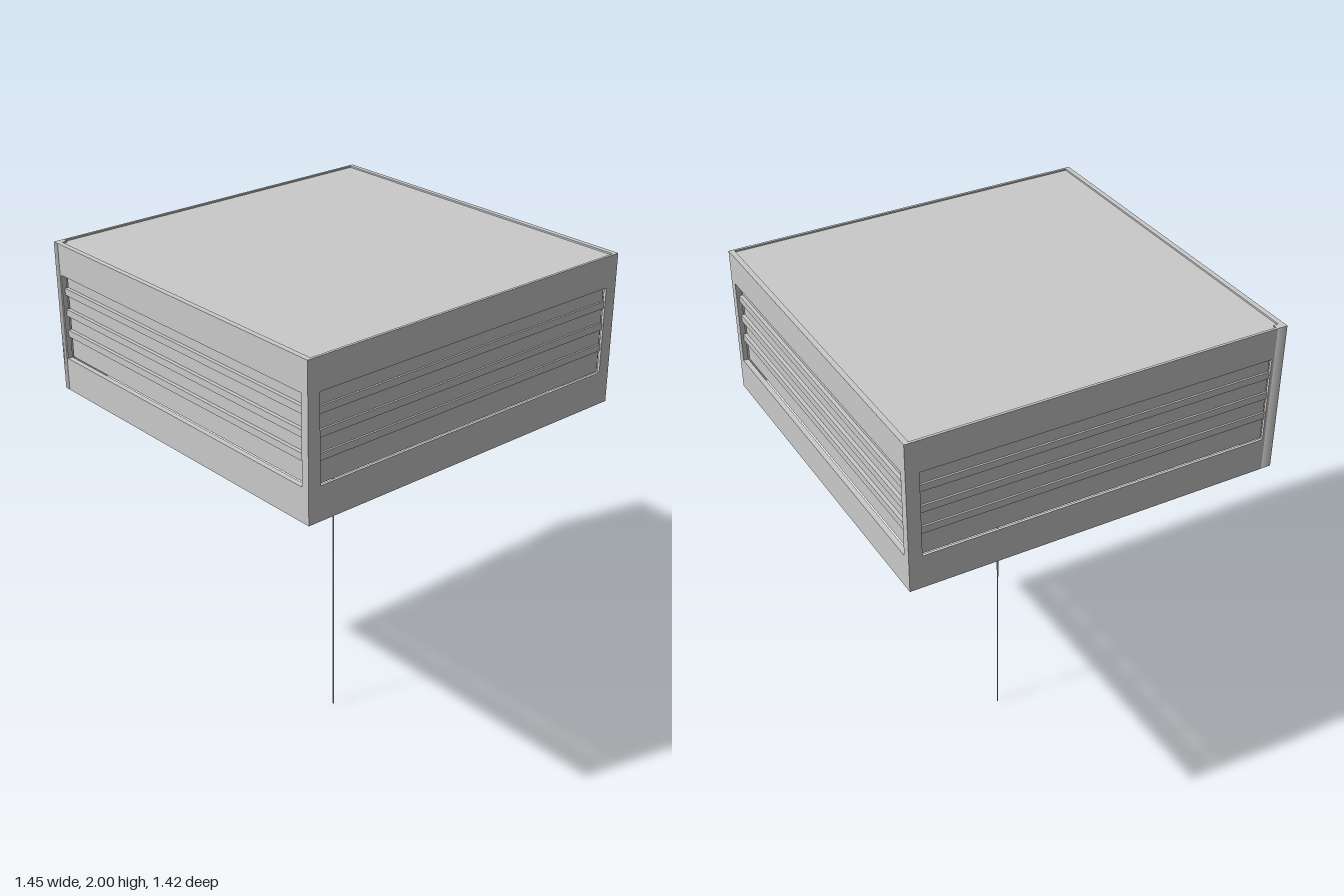
import * as THREE from 'three';

const metal = new THREE.MeshStandardMaterial({ color: 0xcacaca, side: THREE.DoubleSide });
metal.name = 'grey metal';

function add(parent, name, geometry, x = 0, y = 0, z = 0) {
  const mesh = new THREE.Mesh(geometry, metal);
  mesh.name = name;
  mesh.position.set(x, y, z);
  parent.add(mesh);
  return mesh;
}

const BOTTOM = 1.42, TOP = 2, SILL = 1.55, HEAD = 1.88;
const PITCH = (HEAD - SILL) / 4;

function rectangle(u0, u1, y0, y1) {
  return [[u0, y0], [u1, y0], [u1, y1], [u0, y1]].map(p => new THREE.Vector2(...p));
}

// Wall from u0 to u1 with a sunk plate and three bars; local +z is outward.
// plate and bar give [inner, outer] distances from the middle of the lamp.
function barredWall(name, angle, u0, u1, { half, outer, thick, plate, bar }) {
  const wall = new THREE.Group();
  wall.name = name;
  wall.rotation.y = angle;

  const shape = new THREE.Shape(rectangle(u0, u1, BOTTOM, TOP));
  shape.holes.push(new THREE.Path(rectangle(-half, half, SILL, HEAD)));
  add(wall, 'wallFrame', new THREE.ExtrudeGeometry(shape, { depth: thick, bevelEnabled: false }), 0, 0, outer - thick);

  const slab = (part, height, y, [inner, out]) =>
    add(wall, part, new THREE.BoxGeometry(half * 2, height, out - inner), 0, y, (inner + out) / 2);
  slab('sunkPlate', HEAD - SILL, (HEAD + SILL) / 2, plate);
  for (let i = 1; i < 4; i++) slab('louverBar', 0.027, SILL + PITCH * i + 0.016, bar);
  return wall;
}

export function createModel() {
  const model = new THREE.Group();
  model.name = 'ceilingLamp';

  // Square housing, open underneath
  const endWall = { half: 0.675, outer: 0.712, thick: 0.01, plate: [0.691, 0.699], bar: [0.685, 0.706] };
  const sideWall = { half: 0.68, outer: 0.725, thick: 0.02, plate: [0.694, 0.7], bar: [0.688, 0.714] };
  model.add(
    barredWall('frontWall', 0, -0.705, 0.705, endWall),
    barredWall('backWall', Math.PI, -0.705, 0.685, endWall),
    barredWall('leftWall', Math.PI / 2, -0.712, 0.712, sideWall),
    barredWall('rightWall', -Math.PI / 2, -0.687, 0.712, sideWall)
  );
  add(model, 'topPanel', new THREE.BoxGeometry(1.41, 0.01, 1.404), 0, TOP - 0.011, 0);

  // Four-sided post with soft shading at the back right corner
  const post = new THREE.CylinderGeometry(Math.SQRT1_2, Math.SQRT1_2, TOP - BOTTOM, 4, 1, false, Math.PI / 4);
  add(model, 'cornerPost', post, -0.705, (TOP + BOTTOM) / 2, -0.6995).scale.set(0.04, 1, 0.025);

  // Two ring tubes
  for (const [name, radius, tube, y] of [['outerRingTube', 0.58, 0.088, 1.675], ['innerRingTube', 0.4, 0.05, 1.645]]) {
    add(model, name, new THREE.TorusGeometry(radius, tube, 10, 12).rotateX(Math.PI / 2), 0, y, 0);
  }

  // Shallow pyramid where the cord hangs
  const base = new THREE.CylinderGeometry(0.36, 0.004, 0.1, 4, 1, false, Math.PI / 4).toNonIndexed();
  base.computeVertexNormals();
  add(model, 'cordMount', base, 0, 1.68, 0);

  // Pull cord
  add(model, 'pullCord', new THREE.CylinderGeometry(0.003, 0.003, 1.64, 6), 0, 0.82, 0);

  return model;
}
